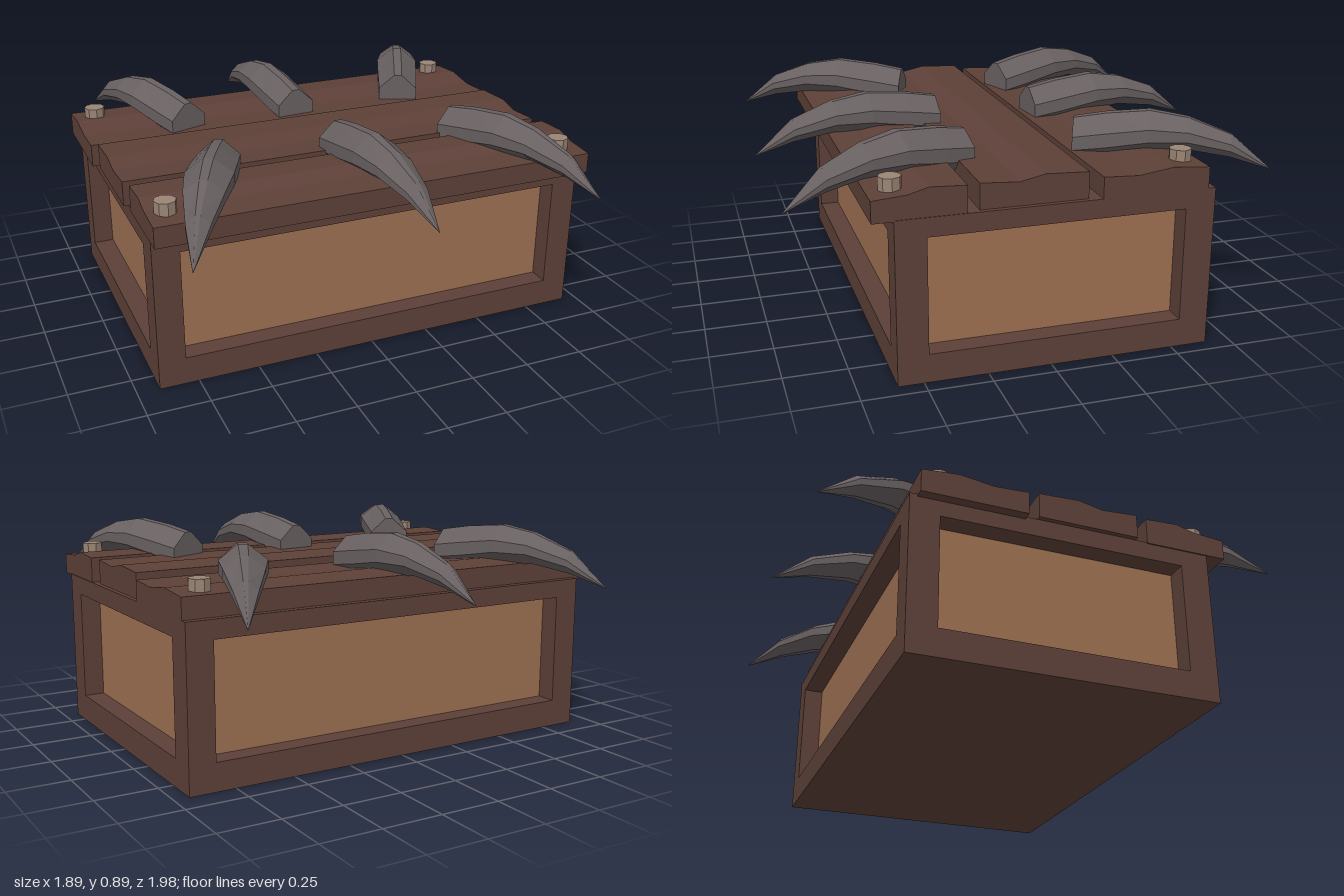
import * as THREE from 'three';

const wood = new THREE.MeshStandardMaterial({ color: 0x5d4038 });
wood.name = 'dark wood';
const panelWood = new THREE.MeshStandardMaterial({ color: 0x9c6f51 });
panelWood.name = 'light wood';
const horn = new THREE.MeshStandardMaterial({ color: 0x686061 });
horn.name = 'grey claw';
const metal = new THREE.MeshStandardMaterial({ color: 0x9a8574 });
metal.name = 'bolt metal';

const X0 = -0.91, X1 = 0.94, Z0 = -0.65, Z1 = 0.60, H = 0.65, DEPTH = 0.085;

function add(parent, name, geometry, material) {
  const mesh = new THREE.Mesh(geometry, material);
  mesh.name = name;
  parent.add(mesh);
  return mesh;
}

// Wall with a rectangular opening, u0..u1 wide, opening h0..h1
function frameWall(u0, u1, h0, h1) {
  const rect = (a, b, c, d) => [[a, c], [b, c], [b, d], [a, d]].map(p => new THREE.Vector2(...p));
  const shape = new THREE.Shape(rect(u0, u1, 0, H));
  shape.holes.push(new THREE.Path(rect(h0, h1, 0.115, 0.575).reverse()));
  return new THREE.ExtrudeGeometry(shape, { depth: DEPTH, bevelEnabled: false });
}

// Plank: uneven top profile of [z, y] points, extruded along x
function plankGeometry(x0, x1, bottom, top) {
  const pts = [[top[0][0], bottom], ...top, [top[top.length - 1][0], bottom]];
  const shape = new THREE.Shape(pts.map(([z, y]) => new THREE.Vector2(-z, y)));
  return new THREE.ExtrudeGeometry(shape, { depth: x1 - x0, bevelEnabled: false })
    .rotateY(Math.PI / 2).translate(x0, 0, 0);
}

// Claw along +z: rings of [distance, half width, bottom, ridge], faceted
function clawGeometry() {
  const rings = [
    [0, 0.086, 0.67, 0.85], [0.13, 0.091, 0.685, 0.873], [0.3, 0.094, 0.72, 0.89],
    [0.45, 0.078, 0.735, 0.866], [0.62, 0.046, 0.71, 0.803], [0.78, 0.001, 0.663, 0.666]];
  const section = [[-0.2, 1], [-1, 0.3], [-1, -0.3], [-0.2, -1], [0.2, -1], [1, -0.3], [1, 0.3], [0.2, 1]];
  const n = section.length, pos = [], index = [];
  for (const [d, w, lo, hi] of rings)
    for (const [sx, sy] of section) pos.push(sx * w, (lo + hi) / 2 + sy * (hi - lo) / 2, d);
  for (let r = 0; r < rings.length - 1; r++)
    for (let i = 0; i < n; i++) {
      const a = r * n + i, b = r * n + (i + 1) % n;
      index.push(a, b, b + n, a, b + n, a + n);
    }
  const last = (rings.length - 1) * n;
  for (let i = 1; i < n - 1; i++) {
    index.push(0, i + 1, i);
    index.push(last, last + i, last + i + 1);
  }
  const g = new THREE.BufferGeometry();
  g.setAttribute('position', new THREE.Float32BufferAttribute(pos, 3));
  g.setIndex(index);
  const flat = g.toNonIndexed();
  flat.computeVertexNormals();
  return flat;
}

export function createModel() {
  const model = new THREE.Group();
  model.name = 'clawedCrate';

  // Inner box: light panels on the sides, dark wood above and below
  const core = new THREE.BoxGeometry(X1 - X0 - 2 * DEPTH, H, Z1 - Z0 - 2 * DEPTH)
    .translate((X0 + X1) / 2, H / 2, (Z0 + Z1) / 2);
  add(model, 'sidePanels', core, [panelWood, panelWood, wood, wood, panelWood, panelWood]);

  // Raised frames around the panels
  add(model, 'frontFrame', frameWall(X0, X1, -0.80, 0.83).translate(0, 0, Z1 - DEPTH), wood);
  add(model, 'backFrame', frameWall(X0, X1, -0.80, 0.83).translate(0, 0, Z0), wood);
  for (const [name, x] of [['rightFrame', X0], ['leftFrame', X1 - DEPTH]])
    add(model, name, frameWall(-Z1 + DEPTH, -Z0 - DEPTH, -0.48, 0.53)
      .rotateY(Math.PI / 2).translate(x, 0, 0), wood);

  // Lid planks
  add(model, 'backPlank', plankGeometry(-0.95, 0.94, 0.64,
    [[-0.62, 0.735], [-0.47, 0.747], [-0.33, 0.728], [-0.19, 0.735]]), wood);
  add(model, 'middlePlank', plankGeometry(-0.93, 0.92, 0.65,
    [[-0.14, 0.755], [0.03, 0.763], [0.13, 0.742], [0.28, 0.752]]), wood);
  add(model, 'frontPlank', plankGeometry(-0.915, 0.937, 0.645,
    [[0.33, 0.755], [0.47, 0.762], [0.55, 0.74], [0.68, 0.73]]), wood);

  // Corner bolts
  const bolt = new THREE.CylinderGeometry(0.044, 0.044, 0.06, 8).toNonIndexed();
  bolt.computeVertexNormals();
  for (const [x, z] of [[-0.86, -0.525], [0.835, -0.545], [-0.84, 0.575], [0.84, 0.59]])
    add(model, 'bolt', bolt, metal).position.set(x, 0.756, z);

  // Claws: base x, z and tip x, z
  const claw = clawGeometry();
  for (const [bx, bz, tx, tz] of [
    [-0.51, -0.23, -0.77, -0.96], [-0.01, -0.22, -0.08, -1.0], [0.51, -0.235, 0.84, -0.94],
    [-0.52, 0.23, -0.845, 0.93], [0.005, 0.21, 0.075, 0.99], [0.53, 0.235, 0.795, 0.965]]) {
    const mesh = add(model, 'claw', claw, horn);
    mesh.position.set(bx, 0, bz);
    mesh.rotation.y = Math.atan2(tx - bx, tz - bz);
  }
  return model;
}
